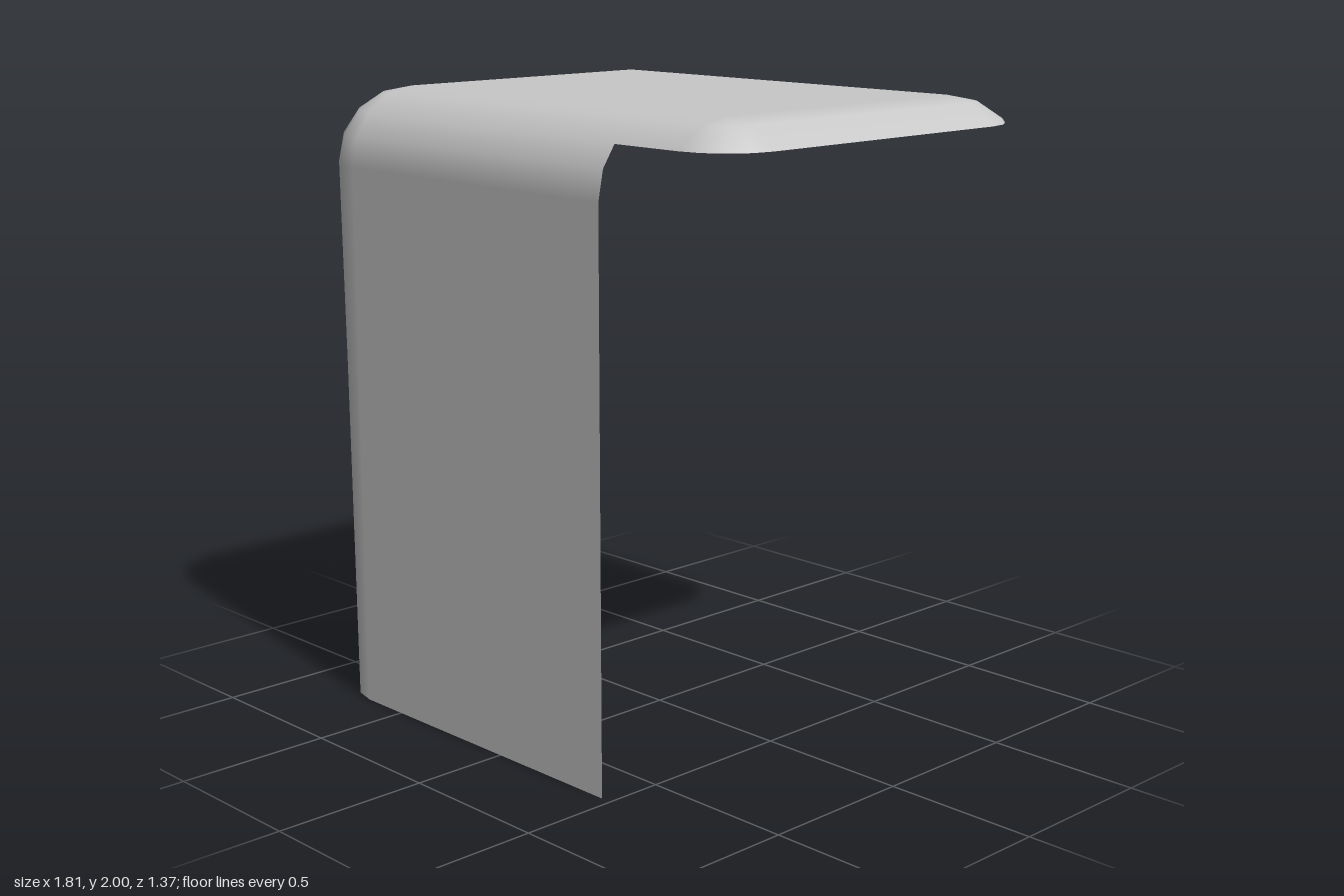
import * as THREE from 'three';

const R = 0.24;           // fillet radius, used in plan and in profile
const SHOULDER = 1.76;    // height where the fillet starts
const RIM = 1.917;        // height of the open canopy edge
const TAPER = 0.045;      // inward lean of the side wall at the floor
const X0 = -0.67, X1 = 0.72, Z0 = -0.51, Z1 = 0.445; // flat top rectangle

// Plan outline: fillet centre (cx, cz) and outward direction (dx, dz)
function planPath() {
  const path = [];
  const add = (cx, cz, a) => path.push({ cx, cz, dx: Math.cos(a), dz: Math.sin(a) });
  const corner = (cx, cz, start) => {
    for (let i = 0; i <= 4; i++) add(cx, cz, start + (i * Math.PI) / 8);
  };
  add(0.465, Z1, Math.PI / 2);      // free end of the front wall
  corner(X0, Z1, Math.PI / 2);
  add(X0, -0.36, Math.PI);          // free end of the side wall
  corner(X0, Z0, Math.PI);
  corner(X1, Z0, Math.PI * 1.5);
  corner(X1, Z1, 0);
  return path;
}

// Profile level on the fillet, at an angle above the horizontal
const level = (deg) => {
  const a = THREE.MathUtils.degToRad(deg);
  return { out: Math.cos(a), y: SHOULDER + R * Math.sin(a), nx: Math.cos(a), ny: Math.sin(a), lean: 0 };
};

// The rim lies on the straight facet between two fillet levels
function rimLevel() {
  const a = level(45), b = level(22.5);
  const t = (a.y - RIM) / (a.y - b.y);
  const n = THREE.MathUtils.degToRad(45 - 22.5 * t);
  return { out: THREE.MathUtils.lerp(a.out, b.out, t), y: RIM, nx: Math.cos(n), ny: Math.sin(n), lean: 0 };
}

// Skin a path through levels listed from top to bottom
function skin(path, levels, closed, cap) {
  const pos = [], nor = [], idx = [];
  const n = path.length;
  for (const l of levels) {
    for (const p of path) {
      const lean = -Math.min(p.dx, 0) * l.lean;
      pos.push(p.cx + p.dx * R * l.out + lean, l.y, p.cz + p.dz * R * l.out);
      nor.push(p.dx * l.nx, l.ny, p.dz * l.nx);
    }
  }
  for (let k = 0; k < levels.length - 1; k++) {
    for (let i = 0; i < (closed ? n : n - 1); i++) {
      const j = (i + 1) % n;
      const a = k * n + i, b = k * n + j, c = b + n, d = a + n;
      if (k > 0 || !cap || path[i].cx !== path[j].cx || path[i].cz !== path[j].cz) idx.push(a, b, c);
      idx.push(a, c, d);
    }
  }
  if (cap) {
    // flat top
    const s = pos.length / 3;
    for (const [x, z] of [[X1, Z1], [X1, Z0], [X0, Z0], [X0, Z1]]) {
      pos.push(x, 2, z);
      nor.push(0, 1, 0);
    }
    idx.push(s, s + 1, s + 2, s, s + 2, s + 3);
  }
  const g = new THREE.BufferGeometry();
  g.setAttribute('position', new THREE.Float32BufferAttribute(pos, 3));
  g.setAttribute('normal', new THREE.Float32BufferAttribute(nor, 3));
  g.setIndex(idx);
  return g;
}

export function createModel() {
  const group = new THREE.Group();
  group.name = 'canopyShell';
  const grey = new THREE.MeshStandardMaterial({ color: 0xc8c8c8, side: THREE.DoubleSide });
  grey.name = 'lightGrey';

  const path = planPath();
  const rim = rimLevel();

  // Rounded canopy, open underneath
  const canopy = new THREE.Mesh(skin(path, [level(90), level(67.5), level(45), rim], true, true), grey);
  canopy.name = 'canopy';

  // Front and side walls joined by a rounded corner
  const floor = { ...level(0), y: 0, lean: TAPER };
  const walls = new THREE.Mesh(skin(path.slice(0, 7), [rim, level(22.5), level(0), floor], false, false), grey);
  walls.name = 'cornerWalls';

  group.add(canopy, walls);
  return group;
}
